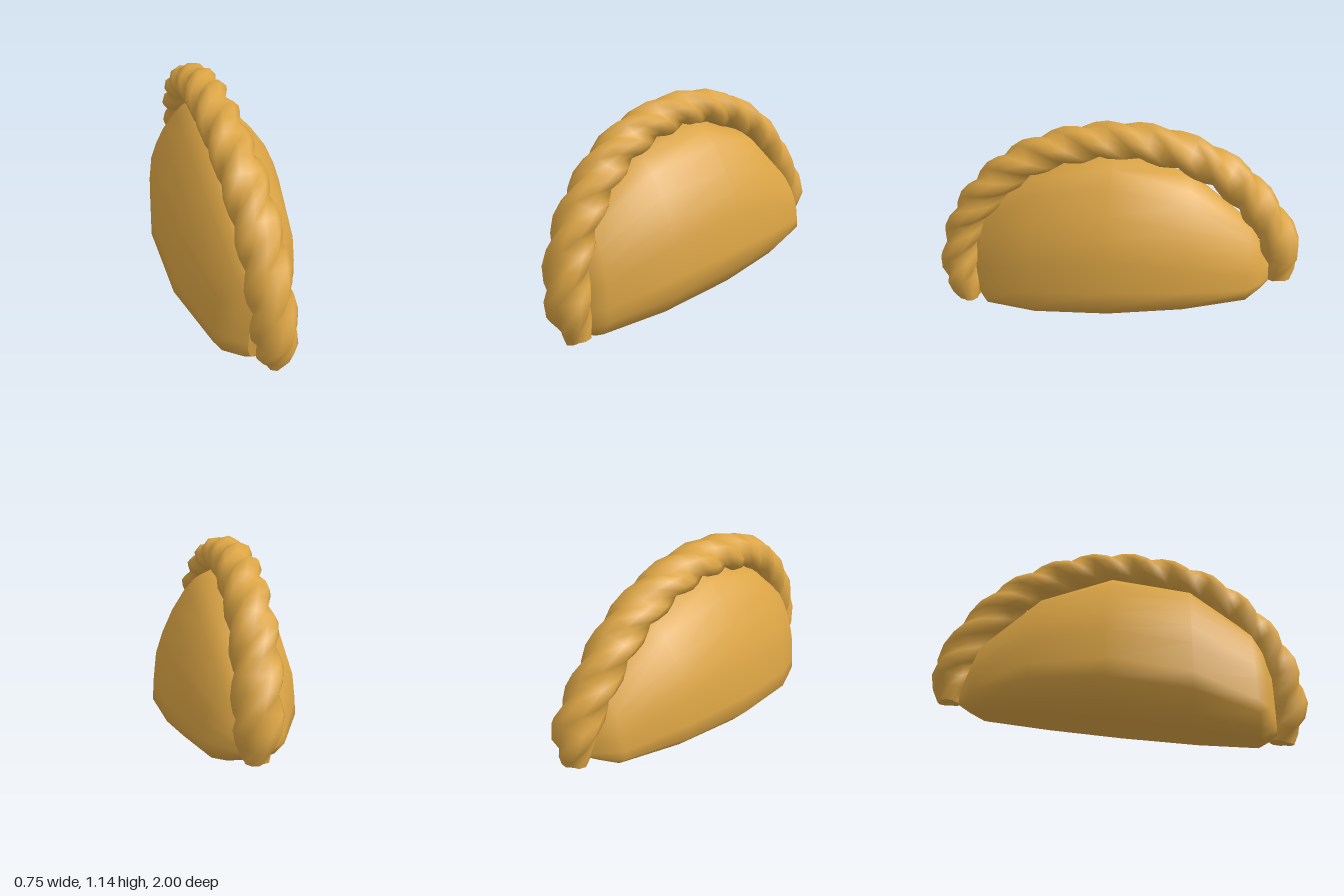
import * as THREE from 'three';

const crust = new THREE.MeshStandardMaterial({ color: 0xdca545 });
crust.name = 'baked crust';

// Smooth closed surface through rings of points, with a flat cap at each end
function loft(rings) {
  const n = rings[0].length;
  const points = rings.flat();
  const index = [];
  for (let i = 0; i < rings.length - 1; i++) {
    for (let j = 0; j < n; j++) {
      const a = i * n + j, b = i * n + (j + 1) % n;
      index.push(a, b, a + n, b, b + n, a + n);
    }
  }
  for (const [ring, isStart] of [[rings[0], true], [rings[rings.length - 1], false]]) {
    const first = points.length;
    const centre = ring.reduce((s, p) => s.add(p), new THREE.Vector3()).divideScalar(n);
    points.push(...ring, centre);
    for (let j = 0; j < n; j++) {
      const a = first + j, b = first + (j + 1) % n;
      index.push(first + n, isStart ? b : a, isStart ? a : b);
    }
  }
  const geometry = new THREE.BufferGeometry().setFromPoints(points);
  geometry.setIndex(index);
  geometry.computeVertexNormals();
  return geometry;
}

// Stuffed half-moon: one teardrop section scaled along z
function makeFilling() {
  // x as a share of half width, y as a share of height, from top to bottom
  const half = [[0, 1], [0.3, 0.94], [0.48, 0.865], [0.7, 0.73], [0.84, 0.6], [0.94, 0.47],
    [0.99, 0.28], [1, 0.17], [0.75, 0.055], [0.4, 0.01], [0, 0]];
  const profile = [...half, ...half.slice(1, -1).reverse().map(([x, y]) => [-x, y])];
  // z, half width, bottom, top
  const stations = [
    [0.82, 0.03, 0.05, 0.38], [0.79, 0.1, 0.025, 0.5], [0.73, 0.185, 0, 0.62],
    [0.42, 0.325, 0.043, 0.89], [0, 0.375, 0.105, 0.995], [-0.4, 0.325, 0.165, 0.89],
    [-0.73, 0.195, 0.213, 0.63], [-0.8, 0.1, 0.25, 0.48], [-0.845, 0.03, 0.28, 0.38],
  ];
  return loft(stations.map(([z, w, bottom, top]) => profile.map(
    ([x, y]) => new THREE.Vector3(x * w, bottom + y * (top - bottom), z))));
}

// Three-lobed rope edge twisting along the seam, from front to back
function makeBraid() {
  const path = new THREE.CatmullRomCurve3([
    [0.095, 0.035, 0.845], [0.075, 0.26, 0.885], [0.055, 0.5, 0.835], [0.035, 0.72, 0.7],
    [0.01, 0.89, 0.51], [-0.015, 0.995, 0.27], [-0.035, 1.04, 0], [-0.045, 1.02, -0.25],
    [-0.05, 0.945, -0.465], [-0.055, 0.83, -0.64], [-0.05, 0.66, -0.785],
    [-0.035, 0.48, -0.89], [-0.025, 0.29, -0.9],
  ].map((p) => new THREE.Vector3(...p)));
  const steps = 40, sides = 12, turns = 4.4;
  const rings = [];
  for (let i = 0; i <= steps; i++) {
    const t = i / steps;
    const centre = path.getPointAt(t);
    const along = path.getTangentAt(t);
    const side = new THREE.Vector3(1, 0, 0).addScaledVector(along, -along.x).normalize();
    const out = new THREE.Vector3().crossVectors(side, along);
    const taper = Math.min(1, 0.55 + 8 * Math.min(t, 1 - t));
    const squash = 1 - 0.15 * Math.sin(t * Math.PI); // pressed flatter over the crown
    const ring = [];
    for (let j = 0; j < sides; j++) {
      const a = (j / sides) * Math.PI * 2;
      const r = taper * (0.089 + 0.033 * Math.abs(Math.cos(1.5 * a)));
      const turned = a + t * turns * Math.PI * 2;
      ring.push(centre.clone()
        .addScaledVector(out, r * squash * Math.cos(turned))
        .addScaledVector(side, r * Math.sin(turned)));
    }
    rings.push(ring);
  }
  return loft(rings);
}

export function createModel() {
  const group = new THREE.Group();
  group.name = 'pasty';
  for (const [name, geometry] of [['filledBody', makeFilling()], ['braidedEdge', makeBraid()]]) {
    const mesh = new THREE.Mesh(geometry, crust);
    mesh.name = name;
    group.add(mesh);
  }
  return group;
}
